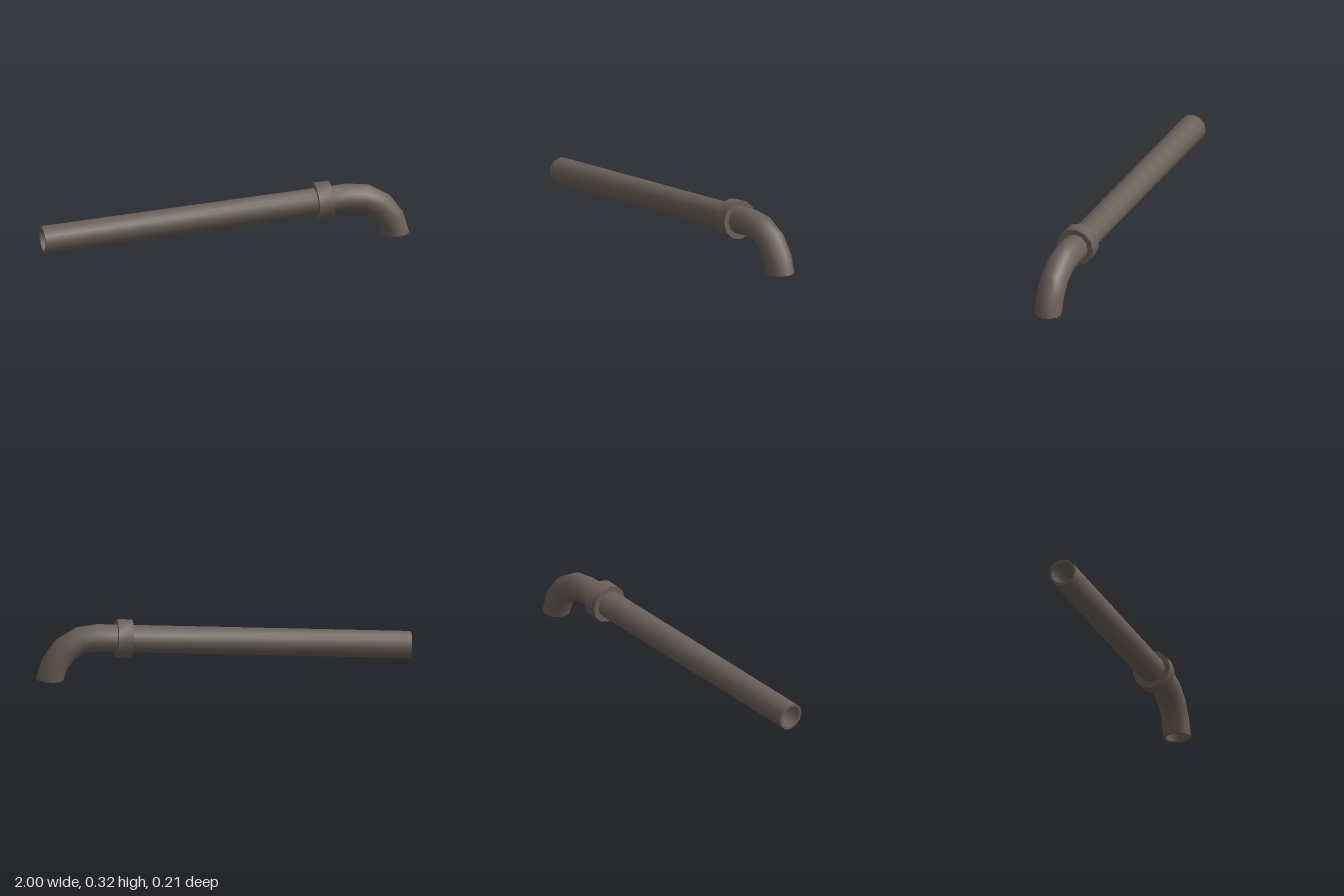
import * as THREE from 'three';
import { mergeGeometries } from 'three/addons/utils/BufferGeometryUtils.js';

const SIDES = 12;

// Smooth skin through a row of closed rings, each an array of SIDES points
function loft(rings) {
  const positions = rings.flat().flatMap((p) => p.toArray());
  const index = [];
  for (let i = 0; i < rings.length - 1; i++) {
    for (let j = 0; j < SIDES; j++) {
      const a = i * SIDES + j, b = i * SIDES + (j + 1) % SIDES;
      index.push(a, b, a + SIDES, b, b + SIDES, a + SIDES);
    }
  }
  const geometry = new THREE.BufferGeometry();
  geometry.setAttribute('position', new THREE.Float32BufferAttribute(positions, 3));
  geometry.setIndex(index);
  geometry.computeVertexNormals();
  return geometry;
}

// Ring around a point of the centre line, tilted by the angle of the line
function ring({ x, y, angle }, radius) {
  return Array.from({ length: SIDES }, (_, j) => {
    const t = (j / SIDES) * Math.PI * 2;
    const up = Math.cos(t) * radius;
    return new THREE.Vector3(x - Math.sin(angle) * up, y + Math.cos(angle) * up, Math.sin(t) * radius);
  });
}

// Hollow tube: outer wall, end rim, inner wall, start rim
function hollowTube(path, outerRadius, innerRadius) {
  const outer = path.map((p) => ring(p, outerRadius));
  const inner = path.map((p) => ring(p, innerRadius)).reverse();
  return mergeGeometries([
    loft(outer),
    loft([outer[outer.length - 1], inner[0]]),
    loft(inner),
    loft([inner[inner.length - 1], outer[0]]),
  ]);
}

const SLOPE = 0.062;
const at = (x, y, angle) => ({ x, y, angle });

export function createModel() {
  const model = new THREE.Group();
  const iron = new THREE.MeshStandardMaterial({ color: 0x6b5f58 });
  iron.name = 'brown iron';

  const add = (name, geometry) => {
    const mesh = new THREE.Mesh(geometry, iron);
    mesh.name = name;
    model.add(mesh);
  };

  // Straight run, rising gently, and the elbow that turns down to the outlet
  add('pipe', hollowTube([
    at(-0.995, 0.122, SLOPE),
    at(0.57, 0.219, SLOPE),
    at(0.664, 0.225, -0.03),
    at(0.752, 0.217, -0.38),
    at(0.838, 0.169, -0.8),
    at(0.894, 0.096, -1.2),
    at(0.922, 0.008, -1.51),
  ], 0.074, 0.06));

  // Coupling collar around the joint
  add('collar', hollowTube([
    at(0.488, 0.2135, SLOPE),
    at(0.568, 0.2185, SLOPE),
  ], 0.104, 0.072));

  return model;
}
